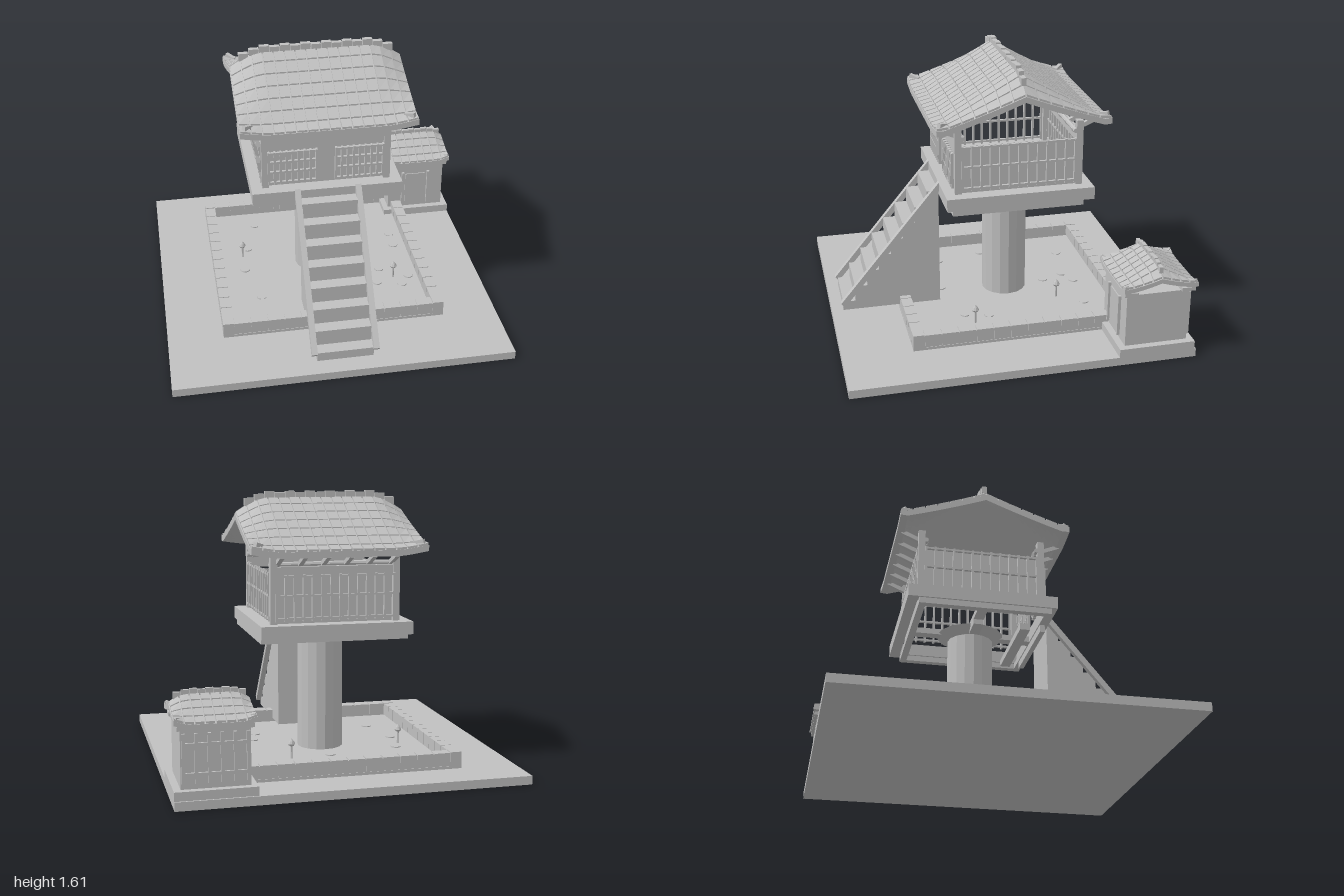
import * as THREE from 'three';
import { mergeGeometries } from 'three/addons/utils/BufferGeometryUtils.js';

const stone = new THREE.MeshStandardMaterial({ color: 0xc0c0c0, flatShading: true });
stone.name = 'stone grey';

// Box given by its limits on each axis
function box(x0, x1, y0, y1, z0, z1) {
  return new THREE.BoxGeometry(x1 - x0, y1 - y0, z1 - z0)
    .translate((x0 + x1) / 2, (y0 + y1) / 2, (z0 + z1) / 2);
}
function add(group, name, ...geos) {
  const flat = geos.flat().map(g => (g.index ? g.toNonIndexed() : g));
  const mesh = new THREE.Mesh(flat.length > 1 ? mergeGeometries(flat) : flat[0], stone);
  mesh.name = name;
  group.add(mesh);
  return mesh;
}
// Flat lattice in x/y, centred on z = 0
function lattice(x0, x1, y0, y1, cols, rowYs, bar = 0.012, depth = 0.02) {
  const out = [];
  for (let i = 0; i <= cols; i++) {
    const x = x0 + (x1 - x0) * i / cols;
    out.push(box(x - bar / 2, x + bar / 2, y0, y1, -depth / 2, depth / 2));
  }
  for (const y of rowYs) out.push(box(x0, x1, y - bar / 2, y + bar / 2, -depth * 0.4, depth * 0.4));
  return out;
}

// Gabled roof whose ridge sinks at both ends and whose eaves flatten out
function roof(name, { cx, cz, hx, hz, ridge, eave, drop, flat, cols, rows, thick, ridgeTiles, tileSize }) {
  const group = new THREE.Group();
  group.name = name;
  group.position.set(cx, 0, cz);
  const top = (x, z) => {
    const e = Math.pow(Math.max(0, (Math.abs(x) - flat) / (hx - flat)), 1.3);
    const s = Math.abs(z) / hz;
    const h = ridge - drop * e;
    return eave + (h - eave) * Math.max(0, 1 - s / 0.92) + 0.025 * e * s * s;
  };
  const bent = (x0, x1, z0, z1, lo, hi, nx, nz) => {
    const g = new THREE.BoxGeometry(1, 1, 1, nx, 1, nz);
    const p = g.attributes.position;
    for (let i = 0; i < p.count; i++) {
      const x = x0 + (x1 - x0) * (p.getX(i) + 0.5);
      const z = z0 + (z1 - z0) * (p.getZ(i) + 0.5);
      p.setXYZ(i, x, top(x, z) + (p.getY(i) > 0 ? hi : lo), z);
    }
    g.computeVertexNormals();
    return g;
  };
  add(group, name + 'Shell', bent(-hx, hx, -hz, hz, -thick, -0.01, 24, 24));
  const tiles = [], w = 2 * hx / cols, d = hz / rows, gap = 0.004;
  for (let i = 0; i < cols; i++) for (let j = -rows; j < rows; j++) {
    const x = -hx + i * w, z = j * d;
    tiles.push(bent(x + gap, x + w - gap, z + gap, z + d - gap, -0.012, 0.002, 1, 1));
  }
  add(group, name + 'Tiles', tiles);
  // Ridge caps of alternating height
  const caps = [], reach = hx * 0.9, step = 2 * reach / ridgeTiles;
  for (let i = 0; i < ridgeTiles; i++) {
    const x = -reach + (i + 0.5) * step, y = top(x, 0);
    caps.push(box(x - step * 0.47, x + step * 0.47, y - 0.015, y + tileSize * (i % 2 ? 0.75 : 1), -tileSize / 2, tileSize / 2));
  }
  add(group, name + 'RidgeCaps', caps);
  // Diagonal corner ornaments
  const horns = [];
  for (const sx of [-1, 1]) for (const sz of [-1, 1]) {
    const x = sx * hx * 0.91, z = sz * hz * 0.92;
    horns.push(new THREE.BoxGeometry(hx * 0.13, hx * 0.05, hx * 0.045)
      .rotateZ(0.25).rotateY(-Math.atan2(sz, sx)).translate(x, top(x, z) + hx * 0.025, z));
  }
  add(group, name + 'CornerHorns', horns);
  return group;
}

function buildPond(root) {
  const pond = new THREE.Group();
  pond.name = 'pond';
  root.add(pond);
  const X = 0.67, Z0 = -0.76, Z1 = 0.59, T = 0.065;
  const ring = (y0, y1, o) => [
    box(-X + o, X - o, y0, y1, Z0 + o, Z0 + T - o), box(-X + o, X - o, y0, y1, Z1 - T + o, Z1 - o),
    box(-X + o, -X + T - o, y0, y1, Z0 + T, Z1 - T), box(X - T + o, X - o, y0, y1, Z0 + T, Z1 - T)];
  add(pond, 'pondKerb', ring(0.05, 0.066, 0));
  add(pond, 'pondWall', ring(0.066, 0.138, 0.003));
  const blocks = [];
  const n = 12;
  for (let i = 0; i < n; i++) {
    const a = -X + T + (2 * X - 2 * T) * i / n, b = a + (2 * X - 2 * T) / n;
    const c = Z0 + T + (Z1 - Z0 - 2 * T) * i / n, d = c + (Z1 - Z0 - 2 * T) / n;
    for (const z of [Z0, Z1 - T]) blocks.push(box(a + 0.003, b - 0.003, 0.07, 0.144, z, z + T));
    for (const x of [-X, X - T]) blocks.push(box(x, x + T, 0.07, 0.144, c + 0.003, d - 0.003));
  }
  for (const x of [-X, X - T]) for (const z of [Z0, Z1 - T]) blocks.push(box(x, x + T, 0.06, 0.147, z, z + T));
  add(pond, 'pondBlocks', blocks);
  add(pond, 'water', box(-X + T, X - T, 0.05, 0.066, Z0 + T, Z1 - T));
  const pads = [[0, -0.36], [0.34, -0.53], [0.53, -0.17], [0.34, 0.22], [0.55, 0.18], [0.05, -0.55], [0.49, 0.26],
    [0.53, -0.3], [0.38, 0.08], [-0.05, -0.5], [-0.03, 0.3], [-0.47, -0.05], [-0.43, -0.28], [-0.4, 0.25], [-0.35, -0.55]];
  add(pond, 'lilyPads', pads.map(([x, z], i) =>
    new THREE.CylinderGeometry(0.03, 0.03, 0.006, 12, 1, false, i, 5.6).translate(x, 0.069, z)));
  // Lotus buds on stems
  const bud = [[0, 0], [0.016, 0.008], [0.022, 0.018], [0.014, 0.034], [0, 0.05]].map(p => new THREE.Vector2(...p));
  for (const [x, z] of [[0.24, -0.38], [0.45, 0.18], [-0.47, -0.2]]) {
    add(pond, 'lotus', new THREE.CylinderGeometry(0.006, 0.006, 0.08, 6).translate(x, 0.1, z),
      new THREE.LatheGeometry(bud, 8).translate(x, 0.135, z));
  }
}

function buildStairs(root) {
  const stairs = new THREE.Group();
  stairs.name = 'stairs';
  root.add(stairs);
  const steps = [];
  for (let k = 0; k < 8; k++) {
    const front = 0.935 - 0.075 * k;
    steps.push(box(-0.165, 0.165, 0.09, 0.145 + 0.0965 * k, k < 7 ? front - 0.075 : 0.34, front));
  }
  add(stairs, 'steps', steps);
  const side = new THREE.Shape([[-0.34, 0.885], [-0.95, 0.148], [-0.928, 0.122], [-0.34, 0.83]].map(p => new THREE.Vector2(...p)));
  for (const x of [-0.197, 0.163]) {
    add(stairs, 'stringer', new THREE.ExtrudeGeometry(side, { depth: 0.034, bevelEnabled: false })
      .rotateY(Math.PI / 2).translate(x, 0, 0));
  }
}

function buildHouse(root) {
  const house = new THREE.Group();
  house.name = 'house';
  root.add(house);
  add(house, 'pillar', new THREE.CylinderGeometry(0.137, 0.137, 0.72, 16).translate(0, 0.42, -0.1));
  add(house, 'pillarCap', new THREE.CylinderGeometry(0.2, 0.137, 0.04, 16).translate(0, 0.755, -0.1));
  // Deck: open frame carrying a thin floor
  const frame = (X, z0, z1, y0, y1, t) => [box(-X, X, y0, y1, z0, z0 + t), box(-X, X, y0, y1, z1 - t, z1),
    box(-X, -X + t, y0, y1, z0 + t, z1 - t), box(X - t, X, y0, y1, z0 + t, z1 - t)];
  add(house, 'deckFrame', frame(0.445, -0.54, 0.34, 0.8, 0.874, 0.06));
  add(house, 'deckFloor', new THREE.PlaneGeometry(0.88, 0.87).rotateX(-Math.PI / 2).translate(0, 0.875, -0.1));
  add(house, 'underBeams', frame(0.435, -0.475, 0.305, 0.765, 0.8, 0.04),
    box(-0.43, 0.43, 0.765, 0.8, -0.13, -0.07), box(-0.03, 0.03, 0.765, 0.8, -0.47, 0.3));
  add(house, 'crossBeams', box(-0.28, 0.28, 0.72, 0.765, 0.27, 0.3), box(-0.28, 0.28, 0.725, 0.765, 0.15, 0.21),
    box(-0.28, 0.28, 0.735, 0.765, -0.13, -0.07));
  const posts = [];
  for (const x of [-0.36, 0.36]) for (const z of [0.26, -0.46]) posts.push(box(x - 0.02, x + 0.02, 0.875, 1.27, z - 0.02, z + 0.02));
  add(house, 'cornerPosts', posts);
  // Walls face outwards only
  const wall = (w, h, turn, x, z) => new THREE.PlaneGeometry(w, h).rotateY(turn).translate(x, 0.875 + h / 2, z);
  add(house, 'walls', wall(0.7, 0.3, 0, 0, 0.255), wall(0.7, 0.3, Math.PI, 0, -0.455),
    wall(0.7, 0.285, Math.PI / 2, 0.362, -0.1), wall(0.7, 0.285, -Math.PI / 2, -0.362, -0.1));
  add(house, 'lintels', box(-0.345, 0.345, 1.13, 1.2, 0.245, 0.275), box(-0.345, 0.345, 1.14, 1.2, -0.475, -0.445));
  for (const x0 of [-0.34, 0.055]) {
    const l = add(house, 'frontLattice', lattice(x0, x0 + 0.28, 0.9, 1.115, 8, [0.91, 0.98, 1.045, 1.105]));
    l.position.z = 0.285;
  }
  add(house, 'backLattice', lattice(-0.345, 0.345, 0.89, 1.155, 13, [0.905, 1.035, 1.145])).position.z = -0.475;
  for (const s of [-1, 1]) {
    const l = add(house, 'sideLattice', lattice(-0.335, 0.335, 0.89, 1.165, 12, [0.905, 1.035, 1.155]));
    l.rotation.y = s * Math.PI / 2;
    l.position.set(s * 0.375, 0, -0.1);
  }
  // Purlins and sloping eave brackets
  add(house, 'purlins', [0.235, -0.435].map(z =>
    new THREE.CylinderGeometry(0.015, 0.015, 0.76, 8).rotateZ(Math.PI / 2).translate(0, 1.21, z)));
  const brackets = [];
  for (const s of [-1, 1]) for (let i = 0; i < 6; i++) {
    brackets.push(new THREE.BoxGeometry(0.026, 0.025, 0.17).rotateX(-s * 0.4)
      .translate(-0.335 + 0.134 * i, 1.235, -0.1 + s * 0.4));
  }
  add(house, 'eaveBrackets', brackets);
  house.add(roof('roof', { cx: 0, cz: -0.1, hx: 0.51, hz: 0.507, ridge: 1.58, eave: 1.305, drop: 0.09, flat: 0.34,
    cols: 16, rows: 7, thick: 0.045, ridgeTiles: 15, tileSize: 0.03 }));
}

function buildShrine(root) {
  const shrine = new THREE.Group();
  shrine.name = 'shrine';
  root.add(shrine);
  add(shrine, 'plinth', box(0.55, 1, 0.05, 0.1, -0.99, -0.54));
  add(shrine, 'shrineBody', box(0.585, 0.96, 0.1, 0.42, -0.95, -0.58));
  add(shrine, 'doorPosts', [0.675, 0.85].map(x => box(x, x + 0.016, 0.12, 0.37, -0.58, -0.563)));
  add(shrine, 'door', box(0.7, 0.84, 0.13, 0.355, -0.58, -0.573));
  const l = add(shrine, 'shrineLattice', lattice(0.6, 0.945, 0.13, 0.4, 5, [0.18, 0.34], 0.018));
  l.position.z = -0.955;
  add(shrine, 'eaveBoards', [-0.94, -0.6].map(z => box(0.57, 0.98, 0.42, 0.442, z - 0.04, z + 0.04)));
  shrine.add(roof('shrineRoof', { cx: 0.775, cz: -0.77, hx: 0.22, hz: 0.219, ridge: 0.577, eave: 0.465, drop: 0.045, flat: 0.14,
    cols: 8, rows: 4, thick: 0.037, ridgeTiles: 9, tileSize: 0.022 }));
}

export function createModel() {
  const root = new THREE.Group();
  root.name = 'pillarPavilion';
  add(root, 'groundSlab', box(-1, 1, 0, 0.05, -1, 1));
  buildPond(root);
  buildStairs(root);
  buildHouse(root);
  buildShrine(root);
  return root;
}
